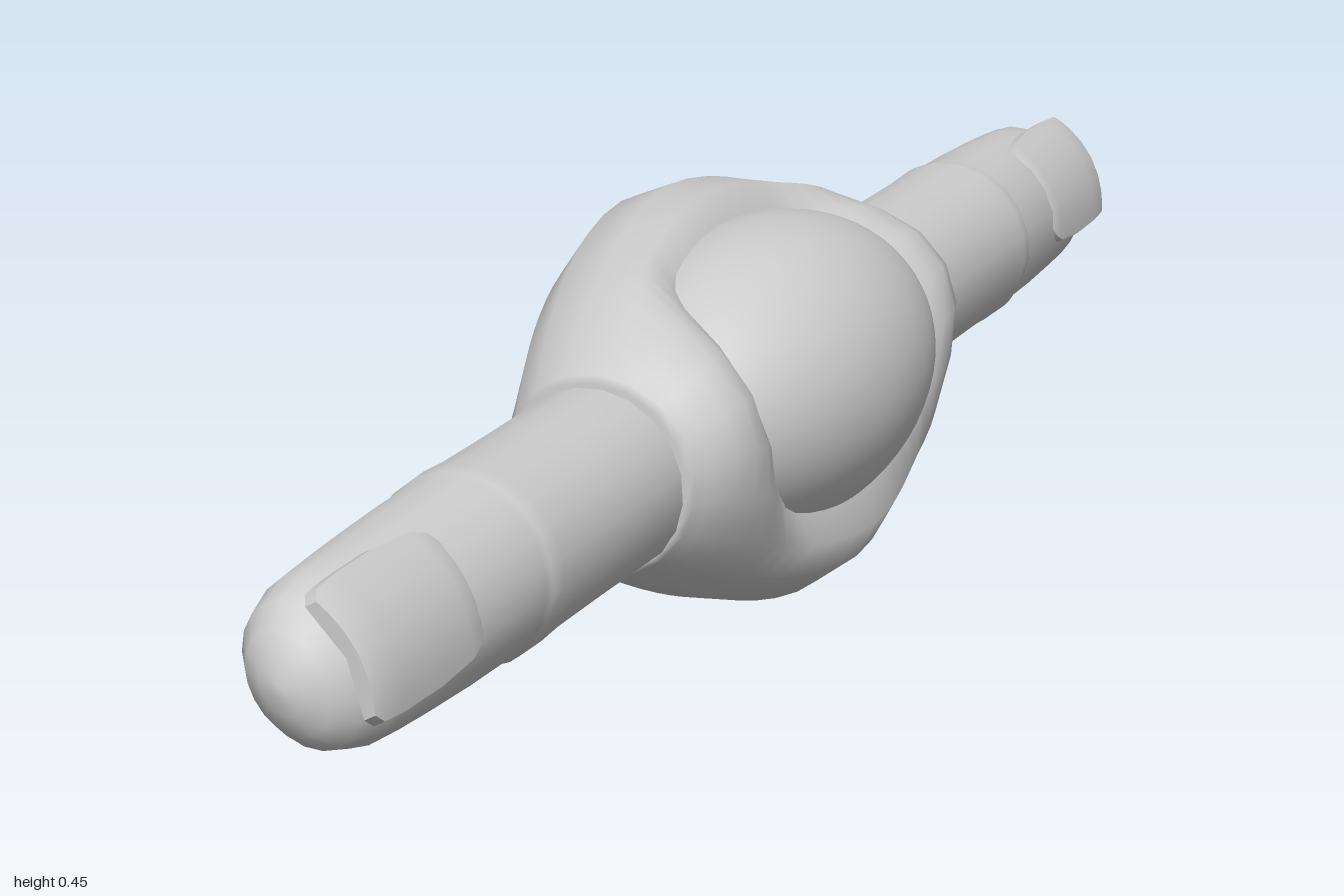
import * as THREE from 'three';
import { toCreasedNormals } from 'three/addons/utils/BufferGeometryUtils.js';

const material = new THREE.MeshStandardMaterial({ color: 0xcccccc });

// Skin a list of rings (each a counter-clockwise list of [x, y, z], rising in z) and cap both ends
function loft(rings) {
  if (rings[0][0][2] > rings[rings.length - 1][0][2]) rings = [...rings].reverse();
  const n = rings[0].length, last = (rings.length - 1) * n;
  const points = rings.flat(), index = [];
  for (let k = 0; k < rings.length - 1; k++) {
    for (let i = 0; i < n; i++) {
      const a = k * n + i, b = k * n + (i + 1) % n;
      index.push(a, b, a + n, b, b + n, a + n);
    }
  }
  const middle = ring => [0, 1, 2].map(c => ring.reduce((sum, p) => sum + p[c], 0) / n);
  const start = points.length;
  points.push(middle(rings[0]), middle(rings[rings.length - 1]));
  for (let i = 0; i < n; i++) {
    const j = (i + 1) % n;
    index.push(start, j, i, start + 1, last + i, last + j);
  }
  const geometry = new THREE.BufferGeometry();
  geometry.setAttribute('position', new THREE.Float32BufferAttribute(points.flat(), 3));
  geometry.setIndex(index);
  geometry.computeVertexNormals();
  return geometry;
}

function addMesh(parent, name, geometry) {
  const mesh = new THREE.Mesh(geometry, material);
  mesh.name = name;
  parent.add(mesh);
  return mesh;
}

// Eyelid body: a rounded shell, flat in front, blending into a round finger at each end
function eyelidGeometry() {
  const half = [[0.04, 0], [0.04, 0.08], [0.04, 0.15], [0.04, 0.209], [0, 0.235],
    [-0.062, 0.243], [-0.113, 0.218], [-0.16, 0.162], [-0.182, 0.087], [-0.193, 0]];
  const profile = [...half, ...half.slice(1, -1).reverse().map(([x, y]) => [x, -y])];
  const smooth = THREE.MathUtils.smoothstep;
  const steps = [0, 0.05, 0.1, 0.14, 0.17, 0.2, 0.225, 0.25, 0.28, 0.31, 0.335, 0.35, 0.36];
  const stations = [...steps.slice(1).reverse().map(z => -z), ...steps];
  return loft(stations.map(z => {
    const d = Math.abs(z);
    const blend = Math.pow(d / 0.36, 1.8);
    // the corners of the lids swell forward over the ends of the eyeball
    const swell = 0.065 * smooth(d, 0.14, 0.26) * (1 - smooth(d, 0.285, 0.375));
    return profile.map(([x, y], i) => {
      const angle = i * 2 * Math.PI / profile.length;
      const front = Math.max(0, Math.cos(angle)) ** 2;
      return [
        THREE.MathUtils.lerp(x, -0.04 + 0.106 * Math.cos(angle), blend) + swell * front,
        THREE.MathUtils.lerp(y, 0.106 * Math.sin(angle), blend),
        z
      ];
    });
  }));
}

// Finger: z, depth radius, width radius, depth offset
function fingerGeometry(side) {
  const stations = [
    [0.3, 0.103, 0.103, 0], [0.36, 0.104, 0.104, 0], [0.5, 0.103, 0.103, 0], [0.6, 0.103, 0.103, 0],
    [0.64, 0.105, 0.105, 0], [0.66, 0.103, 0.104, 0], [0.668, 0.099, 0.101, 0], [0.74, 0.093, 0.1, 0],
    [0.82, 0.082, 0.097, 0], [0.88, 0.075, 0.094, 0], [0.93, 0.07, 0.09, -0.004],
    [0.965, 0.06, 0.077, -0.01], [0.985, 0.043, 0.055, -0.014], [0.996, 0.022, 0.028, -0.016],
    [1, 0.006, 0.008, -0.016]];
  const sides = 20;
  return loft(stations.map(([z, depth, width, shift]) =>
    Array.from({ length: sides }, (_, i) => {
      const angle = i * 2 * Math.PI / sides;
      return [shift + depth * Math.cos(angle), width * Math.sin(angle), side * z];
    })));
}

// Nail: a thin curved plate, z, crown height, half width
function nailGeometry(side) {
  const stations = [[0.78, 0.083, 0.045], [0.79, 0.087, 0.06], [0.81, 0.087, 0.069], [0.87, 0.085, 0.074],
    [0.94, 0.082, 0.073], [0.975, 0.079, 0.07], [0.986, 0.075, 0.06]];
  const across = [-1, -0.75, -0.4, 0, 0.4, 0.75, 1];
  return toCreasedNormals(loft(stations.map(([z, crown, width]) => {
    const arc = drop => across.map(t => [crown - drop - 4.2 * (t * width) ** 2, t * width, side * z]);
    return [...arc(0), ...arc(0.014).reverse()];
  })), 0.8);
}

export function createModel() {
  const model = new THREE.Group();
  model.name = 'eyeWithFingers';

  // Everything is built facing +x, then rolled about the long axis
  const tilted = new THREE.Group();
  tilted.name = 'tiltedBody';
  tilted.position.set(0.02, 0.25, 0);
  tilted.rotation.z = Math.PI / 6;
  model.add(tilted);

  addMesh(tilted, 'eyelids', eyelidGeometry());
  const eye = addMesh(tilted, 'eyeball', new THREE.SphereGeometry(0.175, 48, 32));
  eye.scale.z = 0.29 / 0.175;

  for (const [name, side] of [['front', 1], ['back', -1]]) {
    const finger = new THREE.Group();
    finger.name = name + 'Finger';
    finger.position.set(-0.04, -0.003, 0);
    addMesh(finger, name + 'FingerSkin', fingerGeometry(side));
    addMesh(finger, name + 'Nail', nailGeometry(side));
    tilted.add(finger);
  }
  return model;
}
